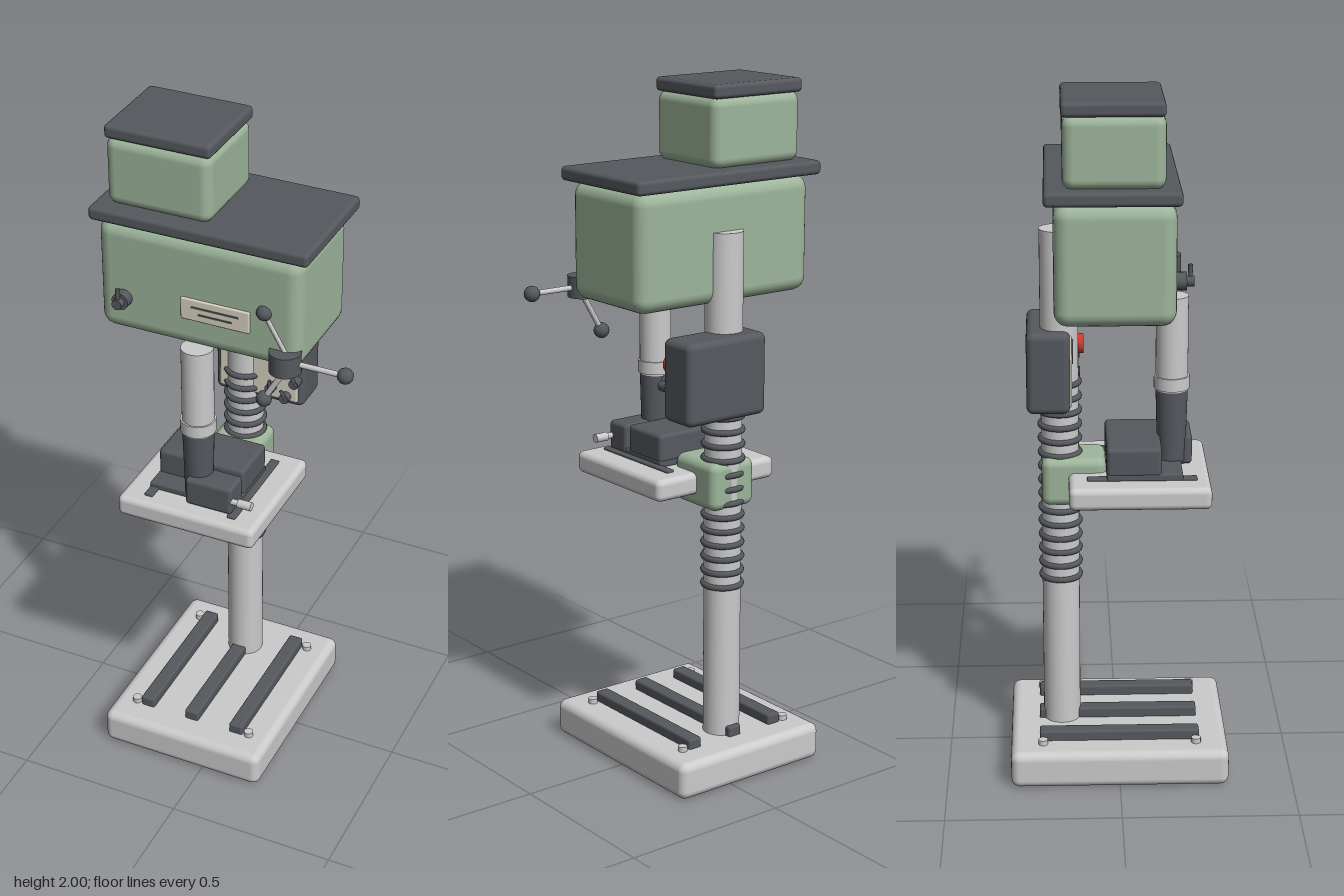
import * as THREE from 'three';
import { RoundedBoxGeometry } from 'three/addons/geometries/RoundedBoxGeometry.js';

const mat = (color) => new THREE.MeshStandardMaterial({ color });

export function createModel() {
  const model = new THREE.Group();
  model.name = 'drillPress';
  const grey = mat(0xcccccc), dark = mat(0x55595e), green = mat(0x9db59b);
  const cream = mat(0xd9d3c3), red = mat(0xcc3a30);
  const CX = -0.07; // centre line of the machine

  const add = (name, geo, material, x = 0, y = 0, z = 0) => {
    const m = new THREE.Mesh(geo, material);
    m.name = name;
    m.position.set(x, y, z);
    model.add(m);
    return m;
  };
  // Rounded box given by its limits on each axis
  const block = (name, material, [x0, x1], [y0, y1], [z0, z1], r = 0.01) =>
    add(name, new RoundedBoxGeometry(x1 - x0, y1 - y0, z1 - z0, 3, r), material,
      (x0 + x1) / 2, (y0 + y1) / 2, (z0 + z1) / 2);
  // Upright cylinder between two heights
  const post = (name, material, x, z, y0, y1, rBottom, rTop = rBottom, n = 32) =>
    add(name, new THREE.CylinderGeometry(rTop, rBottom, y1 - y0, n), material, x, (y0 + y1) / 2, z);
  // Cylinder pointing to the front
  const dial = (name, material, x, y, z0, z1, r, n = 20) => {
    const m = add(name, new THREE.CylinderGeometry(r, r, z1 - z0, n), material, x, y, (z0 + z1) / 2);
    m.rotation.x = Math.PI / 2;
    return m;
  };

  // Base with three raised rails and corner bolts
  block('base', grey, [-0.327, 0.188], [0, 0.11], [-0.315, 0.315], 0.025);
  for (const i of [-1, 0, 1]) {
    const x = CX + i * 0.148;
    block('baseRail', dark, [x - 0.022, x + 0.022], [0.105, 0.14], [-0.232, 0.232], 0.007);
  }
  for (const sx of [-1, 1]) for (const sz of [-1, 1])
    post('baseBolt', grey, CX + sx * 0.188, sz * 0.222, 0.1, 0.125, 0.014, 0.014, 12);

  // Column with stacked rings
  post('column', grey, CX, -0.165, 0.1, 1.6, 0.054);
  for (let i = 0; i < 15; i++) {
    const ring = add('columnRing', new THREE.TorusGeometry(0.055, 0.009, 8, 32), dark, CX, 0.568 + i * 0.042, -0.165);
    ring.rotation.x = Math.PI / 2;
  }

  // Work table on its bracket
  block('tableBracket', green, [-0.147, 0.007], [0.803, 0.945], [-0.218, -0.035], 0.025);
  block('table', grey, [-0.283, 0.143], [0.84, 0.905], [-0.142, 0.258], 0.018);
  for (const sx of [-1, 1]) {
    const x = CX + sx * 0.13;
    block('tableSlot', dark, [x - 0.013, x + 0.013], [0.9, 0.912], [-0.09, 0.22], 0.004);
  }
  post('tableClampScrew', dark, CX, 0.15, 0.81, 0.85, 0.011, 0.011, 12);
  post('tableLockScrew', dark, 0.02, 0, 0.825, 0.85, 0.012, 0.012, 12);

  // Vise with a sideways screw
  block('viseBed', dark, [-0.215, 0.055], [0.903, 0.925], [-0.035, 0.18], 0.006);
  block('viseRearJaw', dark, [-0.215, 0.055], [0.915, 1.0], [-0.035, 0.12], 0.012);
  block('viseFrontJaw', dark, [-0.088, 0.057], [0.907, 0.995], [0.13, 0.212], 0.012);
  for (const [x0, x1, r] of [[-0.06, 0.1, 0.009], [0.075, 0.116, 0.013]]) {
    const screw = add('viseScrew', new THREE.CylinderGeometry(r, r, x1 - x0, 12), grey, (x0 + x1) / 2, 0.95, 0.2);
    screw.rotation.z = Math.PI / 2;
  }

  // Quill, collar and chuck
  post('quill', grey, CX, 0.153, 1.13, 1.405, 0.046);
  post('quillCollar', grey, CX, 0.153, 1.135, 1.172, 0.051);
  post('chuck', dark, CX, 0.153, 0.92, 1.14, 0.04, 0.046);

  // Head, lid and motor housing
  block('head', green, [-0.373, 0.232], [1.395, 1.73], [-0.18, 0.15], 0.04);
  block('headLid', dark, [-0.39, 0.255], [1.73, 1.77], [-0.205, 0.162], 0.012);
  block('motorHousing', green, [-0.355, -0.045], [1.765, 1.965], [-0.155, 0.12], 0.03);
  block('motorCap', dark, [-0.356, -0.043], [1.96, 2.0], [-0.158, 0.118], 0.012);

  // Name plate with two blank bars
  block('plate', cream, [-0.118, 0.087], [1.487, 1.553], [0.145, 0.157], 0.004);
  for (const [w, y] of [[0.14, 1.53], [0.1, 1.51]])
    add('plateBar', new THREE.BoxGeometry(w, 0.005, 0.004), dark, -0.015, y, 0.157);

  // Toggle switch
  dial('switchRing', dark, -0.292, 1.506, 0.145, 0.178, 0.025);
  dial('switchStem', dark, -0.292, 1.506, 0.17, 0.198, 0.015);
  post('switchLever', dark, -0.292, 0.188, 1.505, 1.552, 0.005, 0.007, 10);

  // Feed handle: hub with three ball-ended spokes
  post('feedHub', dark, 0.19, 0.147, 1.395, 1.456, 0.045);
  for (let i = 0; i < 3; i++) {
    const a = i * Math.PI * 2 / 3, L = 0.158;
    const c = Math.cos(a), s = Math.sin(a);
    const spoke = add('feedSpoke', new THREE.CylinderGeometry(0.008, 0.008, L, 12), grey,
      0.207 + c * L / 2, 1.424 + s * L / 2, 0.147);
    spoke.rotation.z = a - Math.PI / 2;
    add('feedKnob', new THREE.SphereGeometry(0.023, 12, 8), dark, 0.207 + c * L, 1.424 + s * L, 0.147);
  }

  // Control box on the column
  block('controlBox', dark, [-0.153, 0.125], [1.08, 1.317], [-0.258, -0.135], 0.02);
  block('controlPanel', cream, [-0.138, 0.11], [1.096, 1.302], [-0.15, -0.13], 0.008);
  block('controlDisplay', dark, [-0.13, 0.01], [1.222, 1.292], [-0.14, -0.126], 0.005);
  dial('stopButtonRing', dark, 0.063, 1.227, -0.14, -0.12, 0.035, 24);
  dial('stopButton', red, 0.063, 1.227, -0.125, -0.095, 0.029, 24);
  for (const [x, y] of [[0.03, 1.137], [0.105, 1.172], [0.075, 1.115]]) {
    dial('controlKnob', dark, x, y, -0.14, -0.108, 0.015, 16);
    const lever = post('controlLever', dark, x, -0.11, y - 0.005, y + 0.03, 0.005, 0.005, 8);
    lever.rotation.z = x > 0.05 ? 0.6 : 0;
  }
  return model;
}
